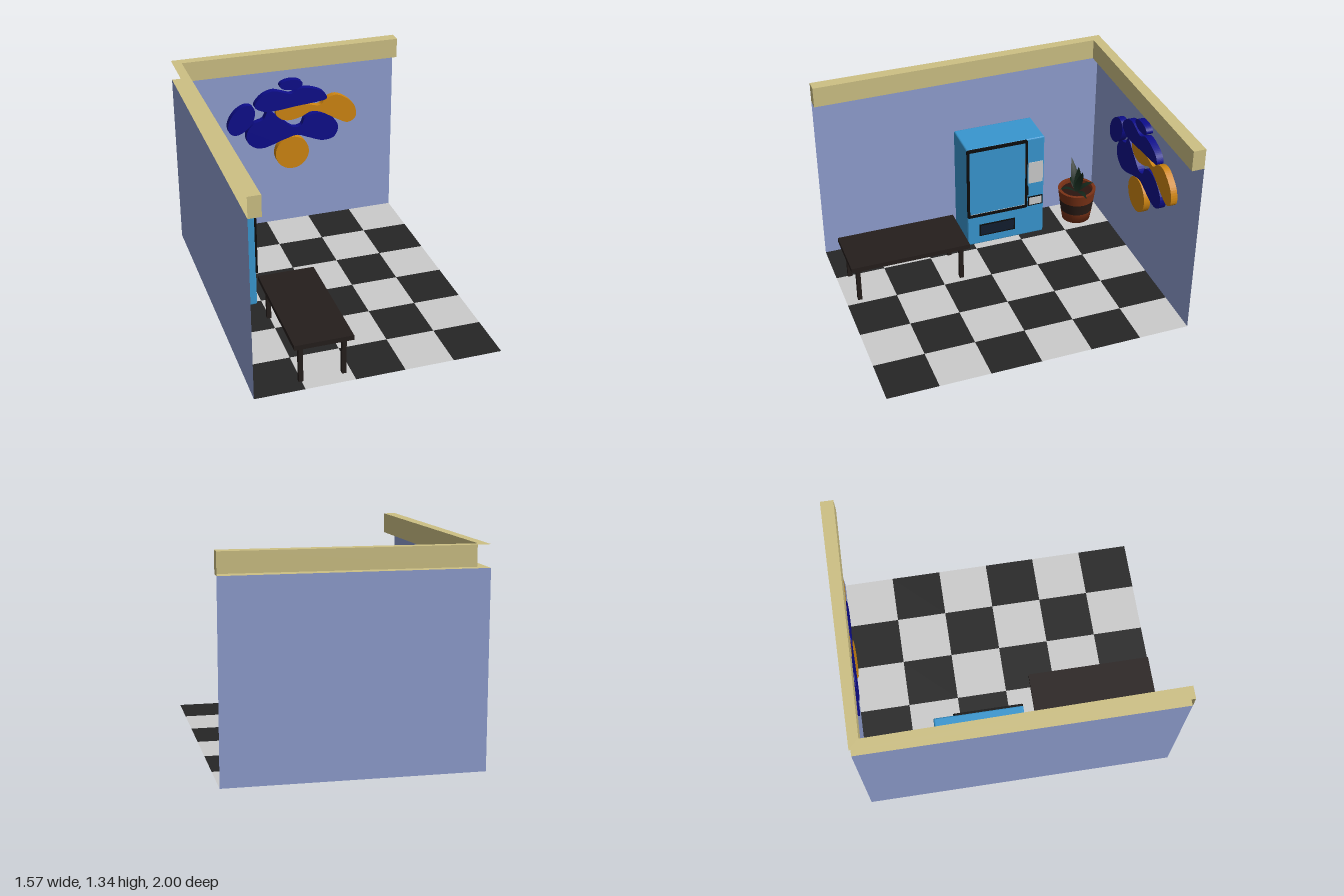
import * as THREE from 'three';

const mat = (color, side = THREE.FrontSide) => new THREE.MeshStandardMaterial({ color, side });
const BLACK = 0x0c0c0c, NAVY = 0x0d0d8a, ORANGE = 0xce8512, BLUE = 0x3896cf, GREY = 0xcccccc;
const W = 0.785;

function add(parent, name, geo, material, x = 0, y = 0, z = 0) {
  const m = new THREE.Mesh(geo, material);
  m.name = name;
  m.position.set(x, y, z);
  parent.add(m);
  return m;
}

// box given by its min and max corners
function box(parent, name, material, [x0, y0, z0], [x1, y1, z1]) {
  return add(parent, name, new THREE.BoxGeometry(x1 - x0, y1 - y0, z1 - z0), material,
    (x0 + x1) / 2, (y0 + y1) / 2, (z0 + z1) / 2);
}

function roundRect(x0, y0, x1, y1, r, P = THREE.Shape) {
  const s = new P();
  s.absarc(x1 - r, y1 - r, r, 0, Math.PI / 2);
  s.absarc(x0 + r, y1 - r, r, Math.PI / 2, Math.PI);
  s.absarc(x0 + r, y0 + r, r, Math.PI, Math.PI * 1.5);
  s.absarc(x1 - r, y0 + r, r, Math.PI * 1.5, Math.PI * 2);
  s.closePath();
  return s;
}

function buildRoom() {
  const room = new THREE.Group();
  room.name = 'room';
  // checkered floor
  const tw = 2 * W / 5, td = 2 / 6;
  const tile = new THREE.PlaneGeometry(tw, td).rotateX(-Math.PI / 2);
  const tones = [mat(GREY, THREE.DoubleSide), mat(0x262626, THREE.DoubleSide)];
  for (let r = 0; r < 6; r++) for (let c = 0; c < 5; c++)
    add(room, 'floorTile', tile, tones[(r + c) % 2], -W + (c + 0.5) * tw, 0, -1 + (r + 0.5) * td);
  // walls
  const wall = mat(0x8f9ecf, THREE.DoubleSide);
  add(room, 'backWall', new THREE.PlaneGeometry(2 * W, 1.2), wall, 0, 0.6, -1);
  add(room, 'sideWall', new THREE.PlaneGeometry(2, 1.2).rotateY(Math.PI / 2), wall, -W, 0.6, 0);
  // cornice: an open-backed channel along both walls, closed at its two ends
  const stations = [[-W, 1, -0.705, 1], [-W, -1, -0.725, -0.937], [W, -1, W, -0.918]];
  const rings = stations.map(([ox, oz, ix, iz]) =>
    [[ox, 1.2, oz], [ix, 1.2, iz], [ix, 1.335, iz], [ox, 1.335, oz]]);
  const pos = [];
  const quad = (a, b, c, d) => pos.push(...a, ...b, ...c, ...a, ...c, ...d);
  for (let s = 0; s < 2; s++) for (let k = 0; k < 3; k++)
    quad(rings[s][k], rings[s + 1][k], rings[s + 1][k + 1], rings[s][k + 1]);
  quad(...rings[0]);
  quad(...[...rings[2]].reverse());
  const geo = new THREE.BufferGeometry();
  geo.setAttribute('position', new THREE.Float32BufferAttribute(pos, 3));
  geo.computeVertexNormals();
  add(room, 'cornice', geo, mat(0xcdc084, THREE.DoubleSide));
  return room;
}

function buildWallArt() {
  const art = new THREE.Group();
  art.name = 'wallArt';
  const slab = (name, shape, color, depth) => add(art, name,
    new THREE.ExtrudeGeometry(shape, { depth, bevelEnabled: false, curveSegments: 48 }), mat(color), 0, 0, -0.998);
  const ellipse = (x, y, rx, ry, a) => {
    const s = new THREE.Shape();
    s.absellipse(x, y, rx, ry, 0, Math.PI * 2, false, a);
    return s;
  };
  const blob = (flat) => {
    const pts = [];
    for (let i = 0; i < flat.length; i += 2) pts.push(new THREE.Vector3(flat[i], flat[i + 1], 0));
    const c = new THREE.CatmullRomCurve3(pts, true);
    return new THREE.Shape(c.getPoints(90).slice(0, -1).map(p => new THREE.Vector2(p.x, p.y)));
  };
  slab('topOval', ellipse(0.03, 1.074, 0.082, 0.037, 0), NAVY, 0.046);
  slab('leftOval', ellipse(-0.33, 0.853, 0.122, 0.077, 0.9), NAVY, 0.046);
  slab('disc', ellipse(0.03, 0.557, 0.122, 0.122, 0), ORANGE, 0.046);
  slab('upperBlob', blob([-0.235, 0.945, -0.18, 1.017, -0.1, 1.044, -0.03, 1.025, 0.03, 1.008, 0.1, 1.04,
    0.195, 1.025, 0.27, 0.985, 0.285, 0.94, 0.22, 0.925, 0.07, 0.912, -0.1, 0.895, -0.18, 0.903]), NAVY, 0.047);
  slab('lowerBlob', blob([-0.14, 0.9, -0.11, 0.88, -0.035, 0.815, 0.045, 0.752, 0.1, 0.76, 0.125, 0.81,
    0.195, 0.836, 0.3, 0.81, 0.37, 0.72, 0.34, 0.64, 0.26, 0.622, 0.15, 0.66, 0.07, 0.69, -0.015, 0.672,
    -0.205, 0.622, -0.288, 0.676, -0.295, 0.75, -0.245, 0.815, -0.175, 0.84, -0.16, 0.865]), NAVY, 0.046);
  slab('rightBlob', blob([-0.08, 0.895, -0.07, 0.84, 0.005, 0.81, 0.1, 0.825, 0.175, 0.857, 0.245, 0.84,
    0.365, 0.77, 0.445, 0.736, 0.5, 0.77, 0.49, 0.86, 0.42, 0.93, 0.35, 0.958, 0.28, 0.935, 0.235, 0.895,
    0.145, 0.912, 0.03, 0.912]), ORANGE, 0.044);
  return art;
}

// built facing local +z, then turned to face +x
function buildVendingMachine() {
  const g = new THREE.Group();
  g.name = 'vendingMachine';
  g.rotation.y = Math.PI / 2;
  const black = mat(BLACK), grey = mat(GREY);
  const u0 = -0.033, u1 = 0.372, v0 = 0.262, v1 = 0.768;
  // cabinet with display opening
  const shell = roundRect(-0.05, 0.01, 0.51, 0.79, 0.012);
  shell.holes.push(roundRect(u0, v0, u1, v1, 0.005, THREE.Path));
  add(g, 'cabinet', new THREE.ExtrudeGeometry(shell, { depth: 0.255, bevelThickness: 0.01, bevelSize: 0.01,
    bevelOffset: -0.01, bevelSegments: 3, curveSegments: 4 }), mat(BLUE), 0, 0, -0.774);
  box(g, 'displayLining', mat(GREY, THREE.BackSide), [u0 + 0.002, v0 + 0.002, -0.7], [u1 - 0.002, v1 - 0.002, -0.505]);
  const ring = roundRect(-0.05, 0.243, 0.385, 0.788, 0.012);
  ring.holes.push(roundRect(u0, v0, u1, v1, 0.005, THREE.Path));
  add(g, 'displayFrame', new THREE.ExtrudeGeometry(ring, { depth: 0.014, bevelEnabled: false }), black, 0, 0, -0.513);
  // shelves, coils and bottles
  const coilPts = [];
  for (let i = 0; i <= 60; i++) {
    const a = i / 12 * Math.PI * 2;
    coilPts.push(new THREE.Vector3(0.031 * Math.sin(a), 0.031 * Math.cos(a), -0.69 + 0.11 * i / 60));
  }
  const coil = new THREE.TubeGeometry(new THREE.CatmullRomCurve3(coilPts), 100, 0.003, 5);
  const lathe = (pts) => new THREE.LatheGeometry(pts.map(p => new THREE.Vector2(...p)), 16);
  const bottleBody = lathe([[0, 0], [0.022, 0], [0.025, 0.008], [0.025, 0.05], [0.022, 0.066], [0.011, 0.088], [0.009, 0.105]]);
  const label = lathe([[0.0255, 0.026], [0.0262, 0.028], [0.0262, 0.056], [0.024, 0.064]]);
  const cap = new THREE.CylinderGeometry(0.0105, 0.0105, 0.014, 12);
  const glass = mat(0x3a4fc0), red = mat(0xd01838), capMat = mat(NAVY);
  [0.655, 0.523, 0.384, 0.264].forEach((y, row) => {
    box(g, 'shelf', black, [u0, y - 0.02, -0.7], [u1, y, -0.575]);
    if (row === 0) return;
    for (const x of [-0.04, -0.16, -0.28].map(z => -z)) {
      add(g, 'coil', coil, black, x, y + 0.026, 0);
      if (row === 3) continue;
      add(g, 'bottle', bottleBody, glass, x, y, -0.6);
      add(g, 'bottleLabel', label, red, x, y, -0.6);
      add(g, 'bottleCap', cap, capMat, x, y + 0.109, -0.6);
    }
  });
  // controls and delivery flap
  box(g, 'keypad', grey, [0.395, 0.433, -0.52], [0.5, 0.6, -0.505]);
  box(g, 'coinReturnFrame', black, [0.393, 0.247, -0.52], [0.502, 0.322, -0.505]);
  box(g, 'coinReturn', grey, [0.402, 0.256, -0.52], [0.493, 0.313, -0.502]);
  box(g, 'doorHandle', black, [0.38, 0.345, -0.52], [0.392, 0.415, -0.498]);
  box(g, 'flapFrame', black, [0.035, 0.075, -0.52], [0.298, 0.17, -0.505]);
  box(g, 'deliveryFlap', mat(0x121d2e), [0.045, 0.085, -0.52], [0.288, 0.16, -0.503]);
  return g;
}

function buildTable() {
  const g = new THREE.Group();
  g.name = 'table';
  const wood = mat(0x251e1c);
  box(g, 'tableTop', wood, [-0.525, 0.256, 0.15], [-0.157, 0.288, 0.957]);
  for (const x of [-0.475, -0.205]) for (const z of [0.2, 0.907])
    box(g, 'tableLeg', wood, [x - 0.014, 0, z - 0.014], [x + 0.014, 0.26, z + 0.014]);
  return g;
}

// blade bent outward: rise and drop shape its arc
function leafGeometry(angle, reach, bend, rise, drop, halfWidth) {
  const geo = new THREE.PlaneGeometry(2, 1, 2, 10);
  const p = geo.attributes.position;
  for (let i = 0; i < p.count; i++) {
    const s = p.getX(i), t = p.getY(i) + 0.5;
    const w = halfWidth * Math.sin(Math.PI * Math.min(1, 0.15 + 0.85 * t));
    p.setXYZ(i, 0.01 + reach * t ** bend - 0.25 * w * (1 - Math.abs(s)),
      0.225 + rise * t - drop * t * t, s * w);
  }
  geo.rotateY(angle);
  geo.computeVertexNormals();
  return geo;
}

function buildPlant() {
  const g = new THREE.Group();
  g.name = 'pottedPlant';
  g.position.set(-0.595, 0, -0.8);
  const clay = mat(0x7a3216, THREE.DoubleSide), dark = mat(0x2a1c16, THREE.DoubleSide);
  const band = (name, m, pts) => add(g, name,
    new THREE.LatheGeometry(pts.map(p => new THREE.Vector2(...p)), 32), m);
  band('potBase', clay, [[0, 0.015], [0.1, 0.015], [0.112, 0.09]]);
  band('potBand', dark, [[0.112, 0.09], [0.123, 0.175]]);
  band('potWall', clay, [[0.123, 0.175], [0.134, 0.255]]);
  band('potRim', clay, [[0.134, 0.255], [0.112, 0.255]]);
  band('potInside', clay, [[0.112, 0.255], [0.11, 0.225]]);
  add(g, 'soil', new THREE.CircleGeometry(0.112, 32).rotateX(-Math.PI / 2), mat(0x2b1510), 0, 0.23, 0);
  const green = mat(0x14261a, THREE.DoubleSide);
  // tall blades
  for (const [a, reach] of [[0, 0.085], [Math.PI, 0.1], [0, 0.01]])
    add(g, 'tallLeaf', leafGeometry(a, reach, 1.5, 0.217, 0, 0.029), green);
  // low drooping blades
  for (let i = 0; i < 4; i++)
    add(g, 'lowLeaf', leafGeometry(i * Math.PI / 2, i === 0 ? 0.165 : 0.12, 1, 0.13, 0.09, 0.02), green);
  return g;
}

export function createModel() {
  const model = new THREE.Group();
  model.name = 'breakRoom';
  model.add(buildRoom(), buildWallArt(), buildVendingMachine(), buildTable(), buildPlant());
  return model;
}
